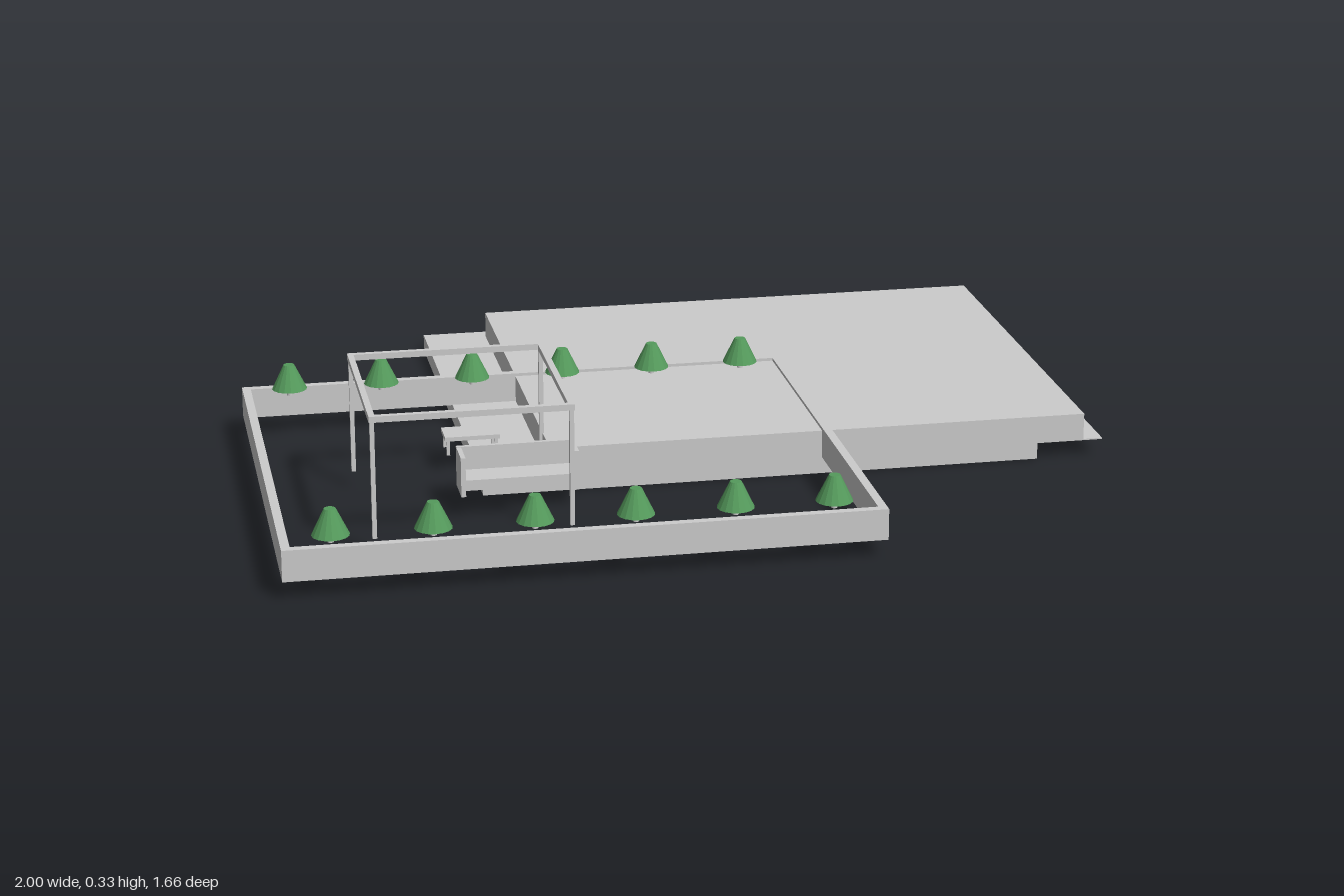
import * as THREE from 'three';

export function createModel() {
  const model = new THREE.Group();
  const concrete = new THREE.MeshStandardMaterial({ color: 0xcccccc });
  concrete.name = 'light grey';
  const foliage = new THREE.MeshStandardMaterial({ color: 0x559a5c, flatShading: true });
  foliage.name = 'leaf green';

  const group = (name) => {
    const g = new THREE.Group();
    g.name = name;
    model.add(g);
    return g;
  };

  // Box given by its limits on each axis
  const box = (parent, name, x0, x1, y0, y1, z0, z1) => {
    const mesh = new THREE.Mesh(new THREE.BoxGeometry(x1 - x0, y1 - y0, z1 - z0), concrete);
    mesh.position.set((x0 + x1) / 2, (y0 + y1) / 2, (z0 + z1) / 2);
    mesh.name = name;
    parent.add(mesh);
  };

  // Building: lower slab, thin overhanging sheet and upper slab
  const building = group('building');
  box(building, 'lowerSlab', -0.49, 0.84, 0, 0.039, -0.83, 0.275);
  box(building, 'overhangSheet', -0.49, 1, 0.039, 0.042, -0.83, 0.275);
  box(building, 'upperSlab', -0.333, 0.953, 0.042, 0.106, -0.79, 0.276);

  // Low wall around the terrace
  const walls = group('terraceWall');
  const base = 0.041, wallTop = 0.113, t = 0.02;
  box(walls, 'leftOuterWall', -1, -1 + t, base, wallTop, -0.28, 0.83);
  box(walls, 'rightOuterWall', 0.333 - t, 0.333, base, wallTop, -0.28, 0.83);
  box(walls, 'backWall', -1 + t, 0.333 - t, base, wallTop, -0.28, -0.28 + t);
  box(walls, 'frontWall', -1 + t, 0.333 - t, base, wallTop, 0.83 - t, 0.83);

  // Pergola: four posts and a square of beams
  const pergola = group('pergola');
  const px = [-0.777, -0.335], pz = [0.163, 0.605], h = 0.005, b = 0.007;
  for (const x of px) {
    for (const z of pz) box(pergola, 'post', x - h, x + h, base, 0.312, z - h, z + h);
    box(pergola, 'sideBeam', x - b, x + b, 0.312, 0.326, pz[0] - b, pz[1] + b);
  }
  for (const z of pz) box(pergola, 'crossBeam', px[0] + b, px[1] - b, 0.312, 0.326, z - b, z + b);

  // Sofa with its back towards -z
  const sofa = group('sofa');
  box(sofa, 'sofaBack', -0.555, -0.283, base, 0.136, 0.302, 0.312);
  box(sofa, 'leftArm', -0.555, -0.544, base, 0.135, 0.312, 0.387);
  box(sofa, 'rightArm', -0.294, -0.283, base, 0.135, 0.312, 0.387);
  box(sofa, 'seat', -0.544, -0.294, 0.055, 0.08, 0.312, 0.385);

  // Low table
  const table = group('table');
  box(table, 'tableTop', -0.555, -0.425, 0.077, 0.087, 0.03, 0.105);
  for (const x of [-0.547, -0.433])
    for (const z of [0.038, 0.097])
      box(table, 'tableLeg', x - 0.004, x + 0.004, base, 0.077, z - 0.004, z + 0.004);

  // Two rows of small trees
  const crownGeometry = new THREE.CylinderGeometry(0.013, 0.042, 0.06, 16);
  const trunkGeometry = new THREE.CylinderGeometry(0.007, 0.007, 0.02, 10);
  for (const z of [-0.225, 0.775]) {
    for (let i = 0; i < 6; i++) {
      const tree = group('tree');
      tree.position.set(-0.889 + i * 0.2222, 0, z);
      const crown = new THREE.Mesh(crownGeometry, foliage);
      crown.name = 'crown';
      crown.position.y = 0.152;
      const trunk = new THREE.Mesh(trunkGeometry, concrete);
      trunk.name = 'trunk';
      trunk.position.y = 0.115;
      tree.add(crown, trunk);
    }
  }
  return model;
}
